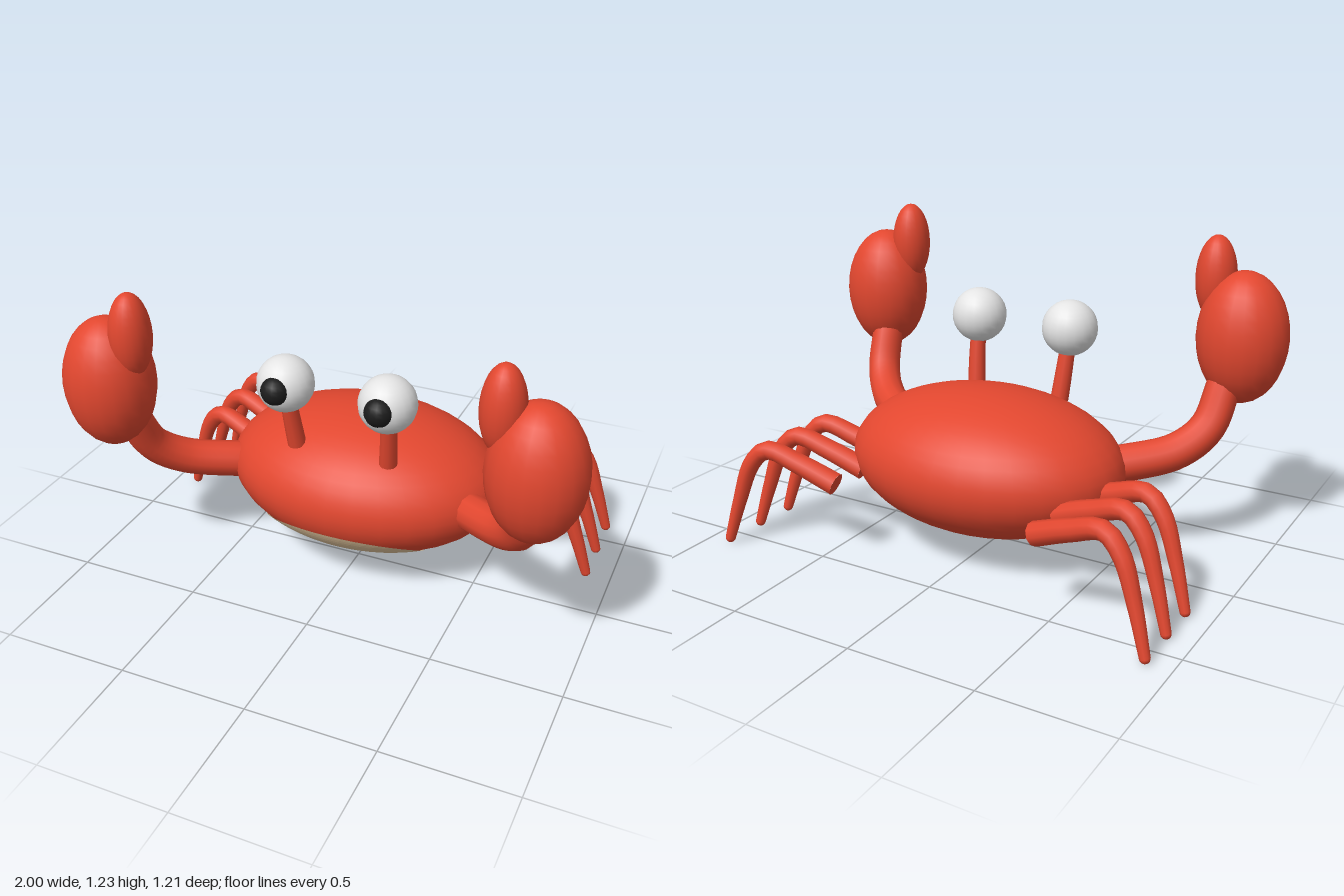
import * as THREE from 'three';

const mat = (name, color) => Object.assign(new THREE.MeshStandardMaterial({ color }), { name });

export function createModel() {
  const shell = mat('shellRed', 0xe2472f);
  const cream = mat('bellyCream', 0xdfc29a);
  const white = mat('eyeWhite', 0xe4e4e4);
  const black = mat('pupilBlack', 0x1c1c1c);
  cream.side = THREE.DoubleSide;
  const crab = new THREE.Group();
  crab.name = 'crab';

  const add = (name, geometry, material, parent = crab) => {
    const mesh = new THREE.Mesh(geometry, material);
    mesh.name = name;
    parent.add(mesh);
    return mesh;
  };

  const ellipsoid = (name, material, center, radii, parent, w = 20, h = 16) => {
    const g = new THREE.SphereGeometry(1, w, h).scale(...radii).translate(...center);
    return add(name, g, material, parent);
  };

  // Smooth limb whose radius runs from r0 to r1, flat at the root and round at the tip
  const limb = (name, points, r0, r1, parent, sides = 10, steps = 20) => {
    const group = new THREE.Group();
    group.name = name;
    parent.add(group);
    const curve = new THREE.CatmullRomCurve3(points.map((p) => new THREE.Vector3(...p)));
    const tube = new THREE.TubeGeometry(curve, steps, 1, sides);
    const pos = tube.attributes.position;
    const v = new THREE.Vector3();
    for (let i = 0; i <= steps; i++) {
      const c = curve.getPointAt(i / steps);
      const r = r0 + (r1 - r0) * (i / steps) ** 1.3;
      for (let j = 0; j <= sides; j++) {
        const k = i * (sides + 1) + j;
        v.fromBufferAttribute(pos, k).sub(c).multiplyScalar(r).add(c);
        pos.setXYZ(k, v.x, v.y, v.z);
      }
    }
    add(name + 'Tube', tube, shell, group);
    const root = add(name + 'Root', new THREE.CircleGeometry(r0, sides), shell, group);
    root.position.copy(curve.getPointAt(0));
    root.quaternion.setFromUnitVectors(new THREE.Vector3(0, 0, 1), curve.getTangentAt(0).negate());
    const tip = add(name + 'Tip', new THREE.SphereGeometry(r1, sides, 8), shell, group);
    tip.position.copy(curve.getPointAt(1));
  };

  // Body
  const center = [0, 0.375, -0.08];
  const radii = [0.565, 0.28, 0.41];
  ellipsoid('body', shell, center, radii, crab, 32, 24);

  // Belly patch: an oval cap lying just above the lower front of the body
  const belly = new THREE.CircleGeometry(1, 40);
  const rings = 8;
  const verts = [];
  const index = [];
  const a = -0.84;
  for (let i = 0; i <= rings; i++) {
    for (let j = 0; j <= 40; j++) {
      const phi = (j / 40) * Math.PI * 2;
      const s = i / rings;
      const u = 0.72 * s * Math.cos(phi);
      const w = 0.594 * s * Math.sin(phi);
      const n = new THREE.Vector3(u, Math.sin(a) + w * Math.cos(a), Math.cos(a) - w * Math.sin(a)).normalize();
      verts.push(...n.toArray().map((q, k) => q * radii[k] * 1.006 + center[k]));
      if (i < rings && j < 40) {
        const p = i * 41 + j;
        index.push(p, p + 41, p + 42, p, p + 42, p + 1);
      }
    }
  }
  belly.deleteAttribute('uv');
  belly.setAttribute('position', new THREE.Float32BufferAttribute(verts, 3));
  belly.setIndex(index);
  belly.computeVertexNormals();
  add('belly', belly, cream);

  for (const s of [1, -1]) {
    const side = new THREE.Group();
    side.name = s > 0 ? 'leftSide' : 'rightSide';
    crab.add(side);

    // Eye on its stalk
    limb('eyeStalk', [[s * 0.19, 0.575, 0.16], [s * 0.198, 0.68, 0.178], [s * 0.205, 0.8, 0.2]], 0.036, 0.03, side, 10, 6);
    ellipsoid('eyeball', white, [s * 0.205, 0.857, 0.21], [0.11, 0.11, 0.11], side);
    ellipsoid('pupil', black, [s * 0.205, 0.865, 0.295], [0.055, 0.055, 0.055], side, 14, 10);

    // Raised arm and claw
    limb('arm', [
      [s * 0.47, 0.385, 0.065], [s * 0.67, 0.435, 0.21], [s * 0.755, 0.52, 0.3], [s * 0.785, 0.68, 0.38],
    ], 0.073, 0.066, side, 12);
    ellipsoid('claw', shell, [s * 0.823, 0.85, 0.44], [0.177, 0.258, 0.168], side);
    ellipsoid('clawThumb', shell, [s * 0.7, 1.065, 0.455], [0.079, 0.165, 0.082], side);

    // Three walking legs, bent at the knee
    for (const z of [-0.13, -0.305, -0.485]) {
      limb('leg', [
        [s * 0.43, 0.315, z], [s * 0.58, 0.375, z - 0.025], [s * 0.72, 0.415, z - 0.05],
        [s * 0.79, 0.35, z - 0.065], [s * 0.85, 0.19, z - 0.08], [s * 0.9, 0.02, z - 0.098],
      ], 0.045, 0.02, side);
    }
  }
  return crab;
}
